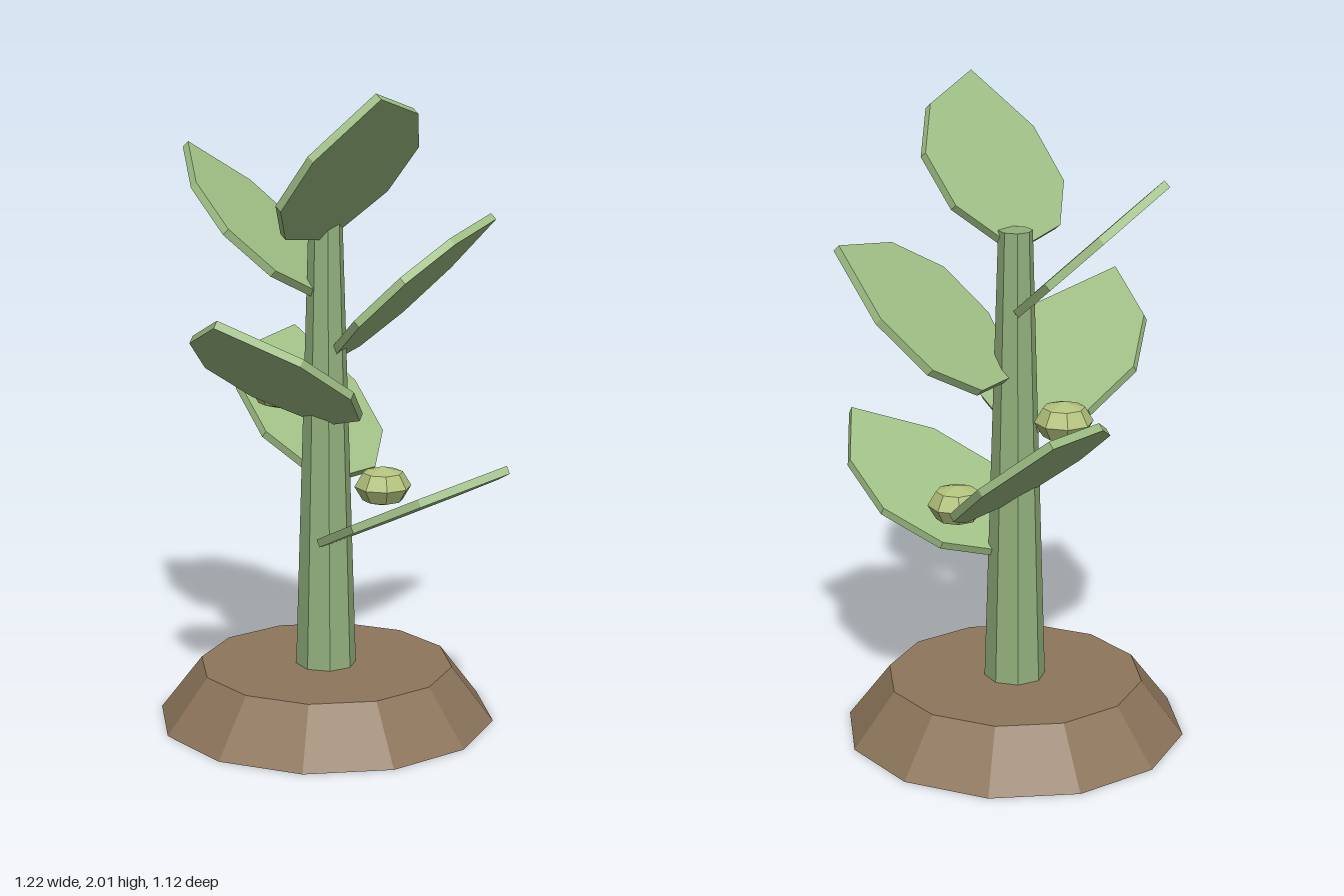
import * as THREE from 'three';

const material = (color) => new THREE.MeshStandardMaterial({ color, flatShading: true });
const GOLDEN = THREE.MathUtils.degToRad(137.5);

// Thin leaf blade growing from the origin along +x, twisted by roll and tilted up by pitch
function leafGeometry(length, roll, pitch) {
  const w = 0.36, t = 0.025;
  const s = new THREE.Shape();
  s.moveTo(0, 0);
  s.bezierCurveTo(w, 0.17 * length, w, 0.7 * length, 0, length);
  s.bezierCurveTo(-w, 0.7 * length, -w, 0.17 * length, 0, 0);
  const g = new THREE.ExtrudeGeometry(s, { depth: t, bevelEnabled: false, curveSegments: 4 });
  g.translate(0, 0, -t / 2);
  g.rotateX(-Math.PI / 2);
  g.rotateY(-Math.PI / 2);
  g.rotateX(roll);
  g.rotateZ(pitch);
  return g;
}

export function createModel() {
  const model = new THREE.Group();
  model.name = 'plant';
  const plant = new THREE.Group();
  plant.name = 'plantOnMound';
  plant.position.set(-0.08, 0, -0.03);
  model.add(plant);

  const add = (name, geometry, mat, x = 0, y = 0, z = 0) => {
    const mesh = new THREE.Mesh(geometry, mat);
    mesh.name = name;
    mesh.position.set(x, y, z);
    plant.add(mesh);
    return mesh;
  };

  const soil = material(0x8e765c);
  const stemGreen = material(0x93b07c);
  const leafGreen = material(0xa2c287);
  const budGreen = material(0xb2c27c);

  // Earth mound and tapered stem
  add('mound', new THREE.CylinderGeometry(0.4, 0.532, 0.173, 12), soil, 0, 0.0865, 0);
  add('stem', new THREE.CylinderGeometry(0.052, 0.096, 1.45, 8), stemGreen, 0, 0.875, 0);

  // Leaves spiral up the stem, getting shorter and steeper, each with its own twist
  for (let i = 0; i < 6; i++) {
    const roll = 0.45 * Math.sin(1.65 * i);
    const pitch = THREE.MathUtils.degToRad(26.5 + 4 * i);
    const leaf = add('leaf' + (i + 1), leafGeometry(0.757 - 0.0225 * i, roll, pitch), leafGreen, 0, 0.568 + 0.193 * i, 0);
    leaf.rotation.y = GOLDEN * i;
  }

  // Squashed buds beside the stem
  for (let i = 0; i < 2; i++) {
    const a = Math.PI / 4 + GOLDEN * i;
    const bud = add('bud' + (i + 1), new THREE.SphereGeometry(0.09, 8, 4), budGreen,
      0.18 * Math.cos(a), 0.743 + 0.295 * i, -0.18 * Math.sin(a));
    bud.scale.y = 0.7;
  }
  return model;
}
